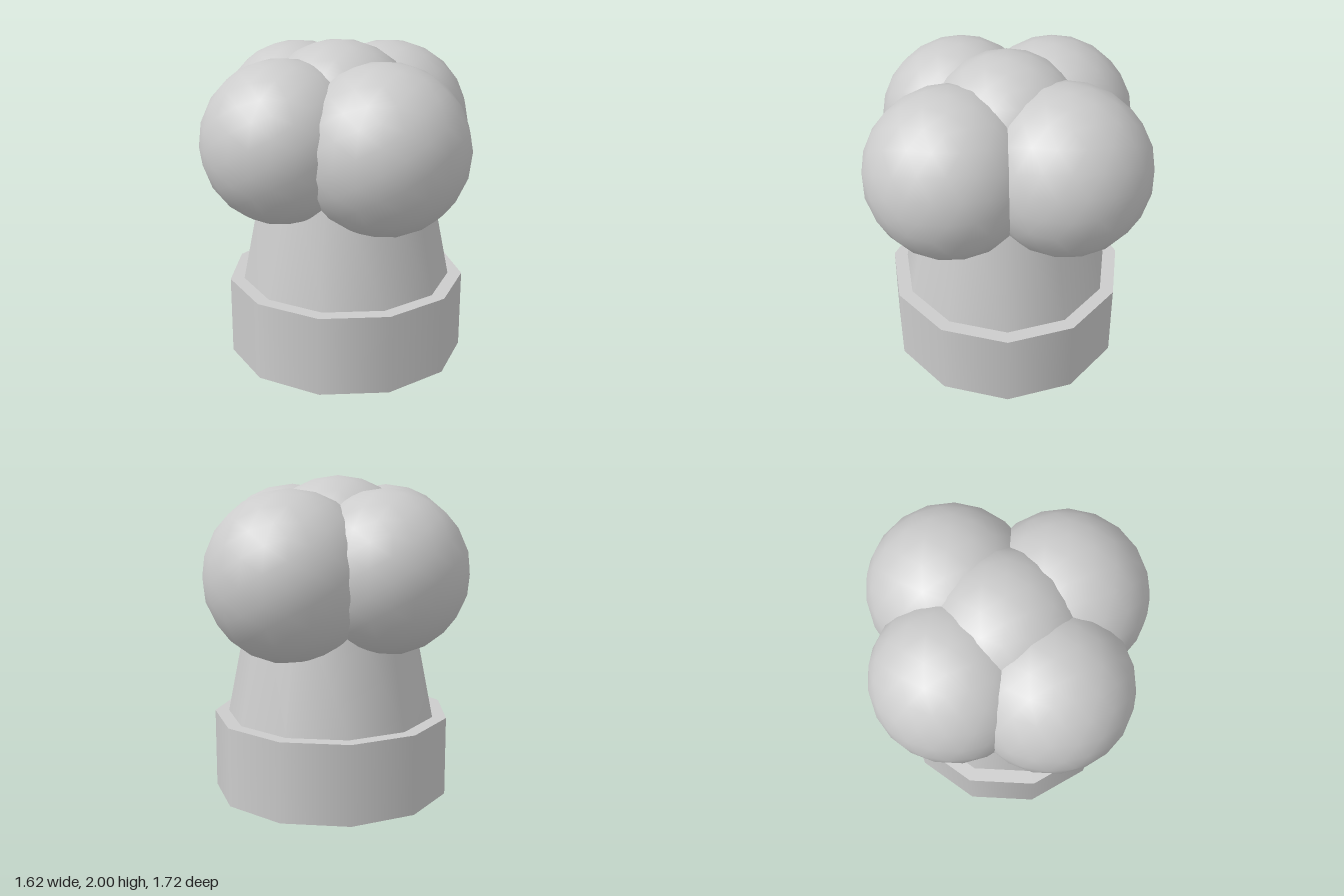
import * as THREE from 'three';

const SIDES = 11;

export function createModel() {
  const group = new THREE.Group();
  group.name = 'chefHatTopper';
  const solid = new THREE.MeshStandardMaterial({ color: 0xcccccc });
  const open = new THREE.MeshStandardMaterial({ color: 0xcccccc, side: THREE.DoubleSide });

  // Eleven-sided shell turned from a [radius, height] profile, one corner on +x
  const turned = (name, profile) => {
    const points = profile.map(([r, y]) => new THREE.Vector2(r, y));
    const mesh = new THREE.Mesh(new THREE.LatheGeometry(points, SIDES, Math.PI / 2), open);
    mesh.name = name;
    mesh.position.set(0.043, 0, 0.012);
    group.add(mesh);
  };

  // Collar around the foot, with a flat ledge on top
  turned('collarWall', [[0.748, 0], [0.748, 0.5]]);
  turned('collarLedge', [[0.748, 0.5], [0.66, 0.5]]);

  // Hollow tapered stem, open below, running up into the puffs
  turned('stem', [[0.744, 0], [0.66, 0.5], [0.5, 1.3]]);

  // Five overlapping puffs: name, radius, centre
  const puffs = [
    ['topPuff', 0.5, 0, 1.5, 0],
    ['frontLeftPuff', 0.52, 0.29, 1.41, 0.34],
    ['backLeftPuff', 0.52, 0.29, 1.42, -0.34],
    ['frontRightPuff', 0.5, -0.315, 1.43, 0.28],
    ['backRightPuff', 0.5, -0.285, 1.44, -0.29],
  ];
  for (const [name, radius, x, y, z] of puffs) {
    const puff = new THREE.Mesh(new THREE.IcosahedronGeometry(radius, 3), solid);
    puff.name = name;
    puff.position.set(x, y, z);
    group.add(puff);
  }

  return group;
}
